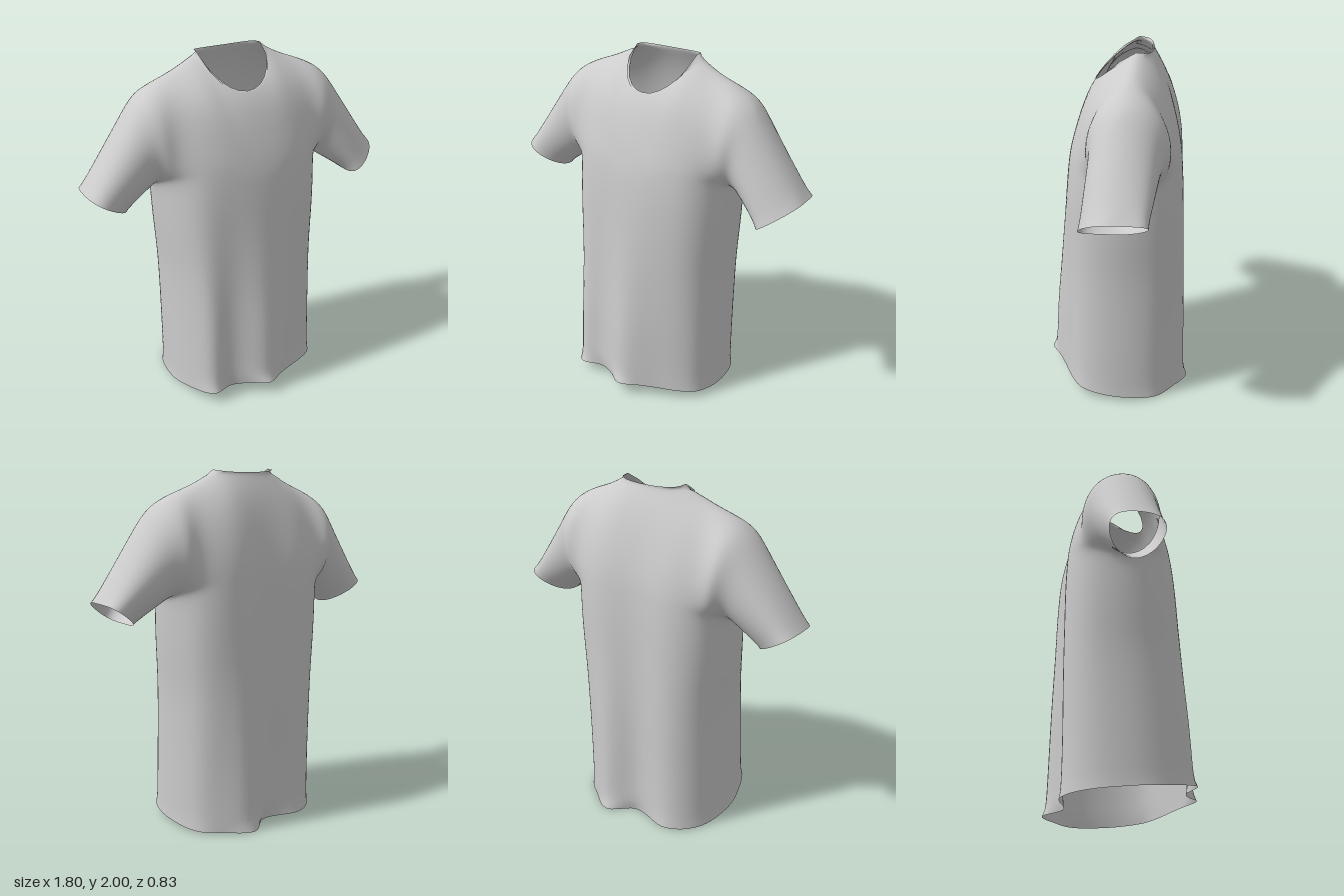
import * as THREE from 'three';
import { mergeGeometries, mergeVertices } from 'three/addons/utils/BufferGeometryUtils.js';

const COLS = 48, ROWS_LOW = 40, ROWS_ARM = 24, ROWS = ROWS_LOW + ROWS_ARM;
const ARMPIT = 0.725;   // fraction of the body height where the armhole begins
const NECK = 0.25;      // fraction of the half width taken by the neckline
const lerp = THREE.MathUtils.lerp;

// Smooth curve through [position, value] keys
function keyed(keys) {
  const slope = (i) => {
    const a = keys[Math.max(i - 1, 0)], b = keys[Math.min(i + 1, keys.length - 1)];
    return (b[1] - a[1]) / (b[0] - a[0]);
  };
  return (x) => {
    let i = 0;
    while (i < keys.length - 2 && x > keys[i + 1][0]) i++;
    const [x0, y0] = keys[i], [x1, y1] = keys[i + 1], h = x1 - x0;
    const t = THREE.MathUtils.clamp((x - x0) / h, 0, 1), t2 = t * t, t3 = t2 * t;
    return y0 * (2 * t3 - 3 * t2 + 1) + slope(i) * h * (t3 - 2 * t2 + t)
      + y1 * (3 * t2 - 2 * t3) + slope(i + 1) * h * (t3 - t2);
  };
}

// Depth along the height, half width, and cross-section folds at hem and chest
const halfWidth = keyed([[0, 0.455], [0.4, 0.455], [0.56, 0.475], [ARMPIT, 0.492]]);
const panels = {
  front: {
    sign: 1, armhole: 0.18,
    depth: keyed([[0, 0.42], [0.4, 0.395], [0.7, 0.36], [1, 0.325], [1.4, 0.277], [1.6, 0.225], [1.8, 0.15],
      [1.9, 0.05], [2, -0.1]]),
    hem: keyed([[-1, 0], [-0.78, 0.36], [-0.53, 0.81], [-0.29, 0.74], [-0.15, 0.83], [0, 1], [0.15, 0.86],
      [0.29, 0.75], [0.5, 0.62], [0.7, 0.47], [0.82, 0.3], [1, 0]]),
    chest: keyed([[-1, 0], [-0.75, 0.52], [-0.5, 0.85], [-0.25, 0.97], [0, 1], [0.25, 0.97], [0.5, 0.85], [0.75, 0.52], [1, 0]]),
  },
  back: {
    sign: -1, armhole: 0.21,
    depth: keyed([[0, -0.42], [0.6, -0.402], [1, -0.383], [1.4, -0.365], [1.6, -0.34], [1.8, -0.285], [1.9, -0.24], [2, -0.17]]),
    hem: keyed([[-1, 0], [-0.76, 0.5], [-0.37, 0.86], [0, 0.76], [0.21, 1], [0.45, 0.8], [0.76, 0.5], [1, 0]]),
    chest: keyed([[-1, 0], [-0.76, 0.6], [-0.37, 0.99], [0, 0.9], [0.23, 1], [0.45, 0.95], [0.76, 0.6], [1, 0]]),
  },
};

// Row index to angle around the armhole, and to height fraction
const armAngle = (j) => Math.max(0, (j - ROWS_LOW) / ROWS_ARM) * Math.PI;
const rowV = (j) => j <= ROWS_LOW ? ARMPIT * j / ROWS_LOW
  : ARMPIT + (1 - ARMPIT) * (1 - Math.cos(armAngle(j))) / 2;

// Neckline and shoulder seam
function topEdge(panel, u) {
  const a = Math.abs(u), s = Math.sign(u);
  if (a >= NECK) {
    const t = (a - NECK) / (1 - NECK);
    return [s * (0.195 + 0.38 * t), 2 - 0.185 * t - 0.008 * Math.sin(2 * Math.PI * t), -0.1 + 0.04 * t];
  }
  const t = a / NECK * Math.PI / 2, c = Math.cos(t), x = s * 0.195 * Math.sin(t);
  return panel.sign > 0
    ? [x, 2 - 0.195 * c, -0.1 + 0.235 * Math.pow(c, 0.75)]
    : [x, 2 - 0.015 * c, -0.1 - 0.09 * Math.sqrt(c)];
}

// Point on a body panel: u runs across from -1 to 1, j is the row
function bodyPoint(panel, u, j) {
  const v = rowV(j), a = armAngle(j), top = topEdge(panel, u);
  const across = Math.sin(u * Math.PI / 2);
  const depthAt = (v_, a_, y) => {
    const seam = -0.06 * Math.min(1, v_ / ARMPIT);
    const fold = lerp(panel.hem(u), panel.chest(u), THREE.MathUtils.smoothstep(y, 0.1, 1.6));
    return seam + (panel.depth(y) - seam) * fold
      + panel.sign * panel.armhole * Math.sin(a_) * Math.pow(Math.abs(across), 12);
  };
  const hemY = 0.004 + 0.08 * Math.pow((depthAt(0, 0, 0) + 0.43) / 0.85, 1.7);
  const y = lerp(hemY, top[1], v);
  const w = a > 0 ? 0.492 + 0.04 * (1 - Math.cos(a)) : halfWidth(v);
  const pull = 1 - Math.sqrt(Math.max(0, 1 - Math.pow(v, 8)));   // rounds the shoulder
  return [
    across * w + (top[0] - across * 0.572) * Math.pow(v, 6),
    y,
    depthAt(v, a, y) + (top[2] - depthAt(1, Math.PI, top[1])) * pull,
  ];
}

// Sleeve point: i runs around the armhole (front going up, back going down)
function sleevePoint(side, i, s) {
  const front = i <= ROWS_ARM;
  const k = front ? i : 2 * ROWS_ARM - i;
  const start = bodyPoint(front ? panels.front : panels.back, side, ROWS_LOW + k);
  const a = k / ROWS_ARM * Math.PI, sn = Math.sin(a);
  const cuff = side > 0 ? { x: 0.8, z: -0.02, r: 0.18, front: -0.5, back: 0.45 }
    : { x: 0.785, z: -0.05, r: 0.15, front: 0.3, back: 0.35 };
  const along = -Math.cos(a) + (front ? cuff.front : cuff.back) * sn * sn;
  const end = [side * (cuff.x + (0.9 - cuff.x) * along), 1.262 + 0.07 * along, cuff.z + (front ? 1 : -1) * cuff.r * sn];
  return start.map((c, n) => lerp(c, end[n], s));
}

// Grid surface; its front is on the side of (first direction) x (second direction)
function grid(nu, nv, point, flip) {
  const pos = [], index = [];
  for (let j = 0; j <= nv; j++) for (let i = 0; i <= nu; i++) pos.push(...point(i, j));
  for (let j = 0; j < nv; j++) for (let i = 0; i < nu; i++) {
    const a = j * (nu + 1) + i, b = a + 1, c = a + nu + 1, d = c + 1;
    index.push(...(flip ? [a, c, b, b, c, d] : [a, b, c, b, d, c]));
  }
  const g = new THREE.BufferGeometry();
  g.setAttribute('position', new THREE.Float32BufferAttribute(pos, 3));
  g.setIndex(index);
  return g;
}

// Softens the cloth by averaging neighbours, keeping the open edges in place
function relax(geometry, passes) {
  const p = geometry.attributes.position, index = geometry.index.array;
  const near = Array.from({ length: p.count }, () => new Map());
  for (let t = 0; t < index.length; t += 3) for (let k = 0; k < 3; k++) {
    const a = index[t + k], b = index[t + (k + 1) % 3];
    near[a].set(b, (near[a].get(b) || 0) + 1);
    near[b].set(a, (near[b].get(a) || 0) + 1);
  }
  const free = near.map((m) => [...m.values()].every((uses) => uses > 1));
  for (let n = 0; n < passes; n++) {
    const old = p.array.slice();
    near.forEach((m, i) => {
      if (!free[i]) return;
      for (let c = 0; c < 3; c++) {
        let sum = 0;
        for (const q of m.keys()) sum += old[q * 3 + c];
        p.array[i * 3 + c] = lerp(old[i * 3 + c], sum / m.size, 0.5);
      }
    });
  }
}

export function createModel() {
  const group = new THREE.Group();
  group.name = 'shirt';
  const material = new THREE.MeshStandardMaterial({ color: 0xcccccc, side: THREE.DoubleSide });

  const panel = (p, flip) => grid(COLS, ROWS, (i, j) => bodyPoint(p, i / COLS * 2 - 1, j), flip);
  const sleeve = (side) => grid(2 * ROWS_ARM, 16, (i, j) => sleevePoint(side, i, j / 16), side > 0);
  const parts = {
    frontPanel: panel(panels.front, false),
    backPanel: panel(panels.back, true),
    leftSleeve: sleeve(1),
    rightSleeve: sleeve(-1),
  };

  // Sew the parts so that the cloth runs smoothly over the seams, then name each one
  const sewn = mergeVertices(mergeGeometries(Object.values(parts)), 1e-4);
  relax(sewn, 12);
  sewn.computeVertexNormals();
  let offset = 0;
  for (const [name, g] of Object.entries(parts)) {
    const count = g.index.count, part = new THREE.BufferGeometry();
    part.setAttribute('position', sewn.attributes.position);
    part.setAttribute('normal', sewn.attributes.normal);
    part.setIndex(Array.from(sewn.index.array.slice(offset, offset + count)));
    offset += count;
    const mesh = new THREE.Mesh(part, material);
    mesh.name = name;
    group.add(mesh);
  }
  return group;
}
